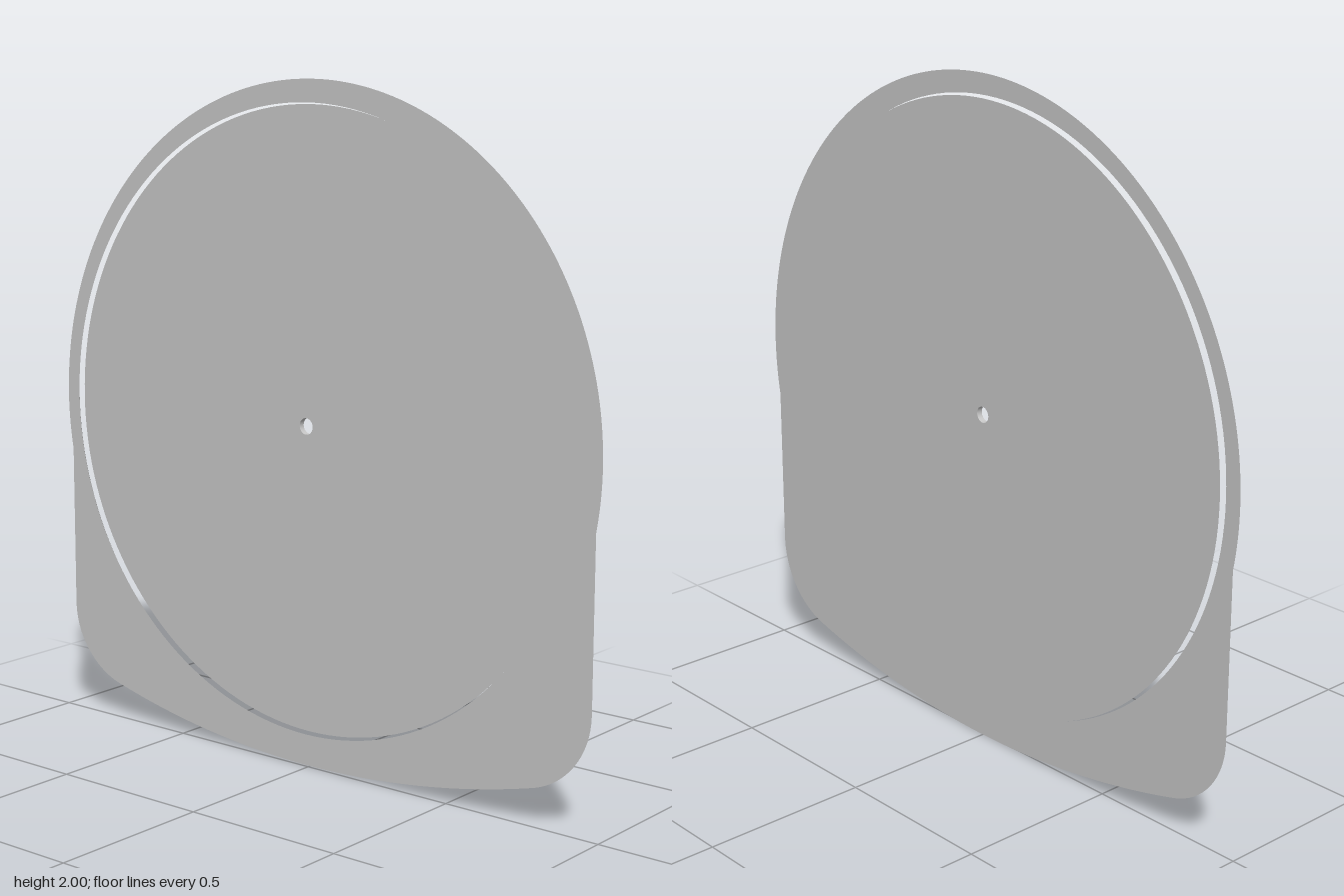
import * as THREE from 'three';

const T = 0.018;   // plate thickness; slanted edges step in by the same amount
const CY = 1.018;  // height of the disc centre

// Counter-clockwise points along an arc, both ends included
function arc(cx, cy, r, a0, a1, n) {
  return Array.from({ length: n + 1 }, (_, i) => {
    const a = a0 + (a1 - a0) * i / n;
    return new THREE.Vector2(cx + r * Math.cos(a), cy + r * Math.sin(a));
  });
}

const circle = (r, n) => arc(0, CY, r, 0, Math.PI * 2, n).slice(0, -1);

// Outline of the frame, stepped in by d: round top, straight sides, rounded corners, bowed base
function outline(d) {
  const R = 2.94, corner = 0.25, side = 0.966, top = 0.982;
  const cx = side - corner;
  const cy = R - Math.sqrt((R - corner) ** 2 - cx ** 2);
  const tilt = Math.atan2(cx, R - cy);
  const start = -Math.acos((side - d) / (top - d));
  const down = -Math.PI / 2;
  return [
    ...arc(0, CY, top - d, start, Math.PI - start, 128),
    ...arc(-cx, cy, corner - d, Math.PI, Math.PI * 1.5 - tilt, 16),
    ...arc(0, R, R - d, down - tilt, down + tilt, 32).slice(1, -1),
    ...arc(cx, cy, corner - d, down + tilt, 0, 16),
  ];
}

// Flat face with a hole
function cap(outer, hole) {
  const shape = new THREE.Shape(outer);
  shape.holes.push(new THREE.Path(hole));
  return new THREE.ShapeGeometry(shape);
}

// Edge strip joining the back loop to the front loop.
// A slanted strip is shaded softly, as a continuation of the face it leans towards (nz = 1 or -1).
function wall(back, front, nz) {
  const n = back.length, pos = [], index = [];
  for (let i = 0; i < n; i++) {
    pos.push(back[i].x, back[i].y, -T / 2, front[i].x, front[i].y, T / 2);
    const a = 2 * i, b = 2 * ((i + 1) % n);
    index.push(a, b, b + 1, a, b + 1, a + 1);
  }
  const g = new THREE.BufferGeometry();
  g.setAttribute('position', new THREE.Float32BufferAttribute(pos, 3));
  g.setIndex(index);
  g.computeVertexNormals();
  if (nz) {
    const normal = g.attributes.normal;
    for (let i = 0; i < normal.count; i++) normal.setXYZ(i, 0, 0, nz);
  }
  return g;
}

// Plate with a slanted outer edge and a hole whose edge leans towards holeNz
function plate(name, material, outer, hole, holeNz) {
  const group = new THREE.Group();
  group.name = name;
  const add = (part, geometry) => {
    const mesh = new THREE.Mesh(geometry, material);
    mesh.name = part;
    group.add(mesh);
  };
  add('frontFace', cap(outer.front, hole.front).translate(0, 0, T / 2));
  // the plates are symmetric in x, so the back face is a turned cap
  add('backFace', cap(outer.back, hole.back).rotateY(Math.PI).translate(0, 0, -T / 2));
  add('outerEdge', wall(outer.back, outer.front, 1));
  add('innerEdge', wall([...hole.back].reverse(), [...hole.front].reverse(), holeNz));
  return group;
}

export function createModel() {
  const grey = new THREE.MeshStandardMaterial({ color: 0xc6c6c6 });
  grey.name = 'lightGrey';

  const model = new THREE.Group();
  model.name = 'panelWithDisc';

  // Surrounding frame, wider at the back
  model.add(plate('frame', grey,
    { back: outline(0), front: outline(T) },
    { back: circle(0.917 + T, 160), front: circle(0.917, 160) }, -1));

  // Loose disc inside a narrow slanted gap, with a straight centre hole
  model.add(plate('disc', grey,
    { back: circle(0.912, 160), front: circle(0.912 - T, 160) },
    { back: circle(0.024, 32), front: circle(0.024, 32) }, 0));

  return model;
}
